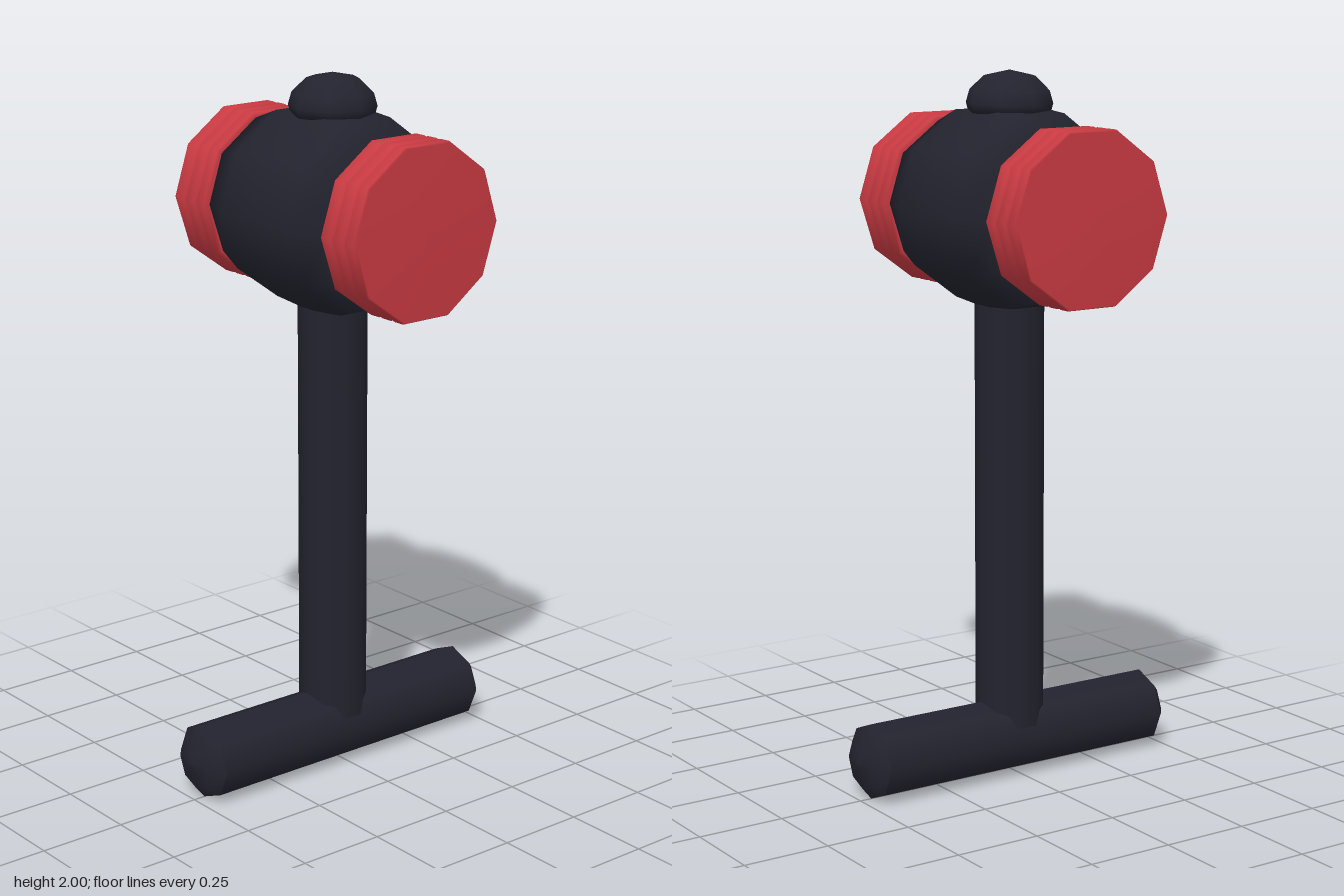
import * as THREE from 'three';

const dark = new THREE.MeshStandardMaterial({ color: 0x22232e });
dark.name = 'charcoal';
const red = new THREE.MeshStandardMaterial({ color: 0xc93a42 });
red.name = 'red';

// Turned part from [radius, height] pairs, bottom to top
function turned(name, profile, sides, material) {
  const points = profile.map(([r, h]) => new THREE.Vector2(r, h));
  const mesh = new THREE.Mesh(new THREE.LatheGeometry(points, sides), material);
  mesh.name = name;
  return mesh;
}

export function createModel() {
  const model = new THREE.Group();
  model.name = 'mallet';

  // Head, turned about the x axis
  const head = new THREE.Group();
  head.name = 'head';
  head.position.y = 1.625;
  head.rotation.z = -Math.PI / 2;
  head.add(turned('barrel', [
    [0, -0.26], [0.232, -0.255], [0.275, -0.14], [0.286, 0], [0.275, 0.14], [0.232, 0.255], [0, 0.26],
  ], 10, dark));

  // Ribbed striking faces, each with three bands
  const ribs = [[0.2, 0.25]];
  for (let i = 0; i < 3; i++) {
    const h = 0.25 + i * 0.049;
    ribs.push([0.238, h], [0.248, h + 0.007], [0.248, h + 0.041]);
  }
  ribs.push([0.244, 0.396], [0, 0.398]);
  for (const side of [1, -1]) {
    const face = turned(side > 0 ? 'leftFace' : 'rightFace', ribs, 10, red);
    if (side < 0) face.rotation.x = Math.PI;
    head.add(face);
  }
  model.add(head);

  // Knob on top of the head
  model.add(turned('topKnob', [
    [0, 1.885], [0.115, 1.885], [0.122, 1.91], [0.112, 1.945], [0.072, 1.984], [0, 2],
  ], 8, dark));

  model.add(turned('shaft', [[0.097, 0.12], [0.097, 1.42]], 10, dark));

  // Cross grip along z with domed ends
  const grip = new THREE.Group();
  grip.name = 'grip';
  grip.position.y = 0.108;
  grip.rotation.x = Math.PI / 2;
  grip.add(turned('gripBar', [[0.108, -0.465], [0.108, 0.465]], 8, dark));
  for (const side of [1, -1]) {
    const cap = turned(side > 0 ? 'frontCap' : 'backCap',
      [[0.108, 0.465], [0.075, 0.492], [0, 0.508]], 8, dark);
    if (side < 0) cap.rotation.x = Math.PI;
    grip.add(cap);
  }
  model.add(grip);

  return model;
}
